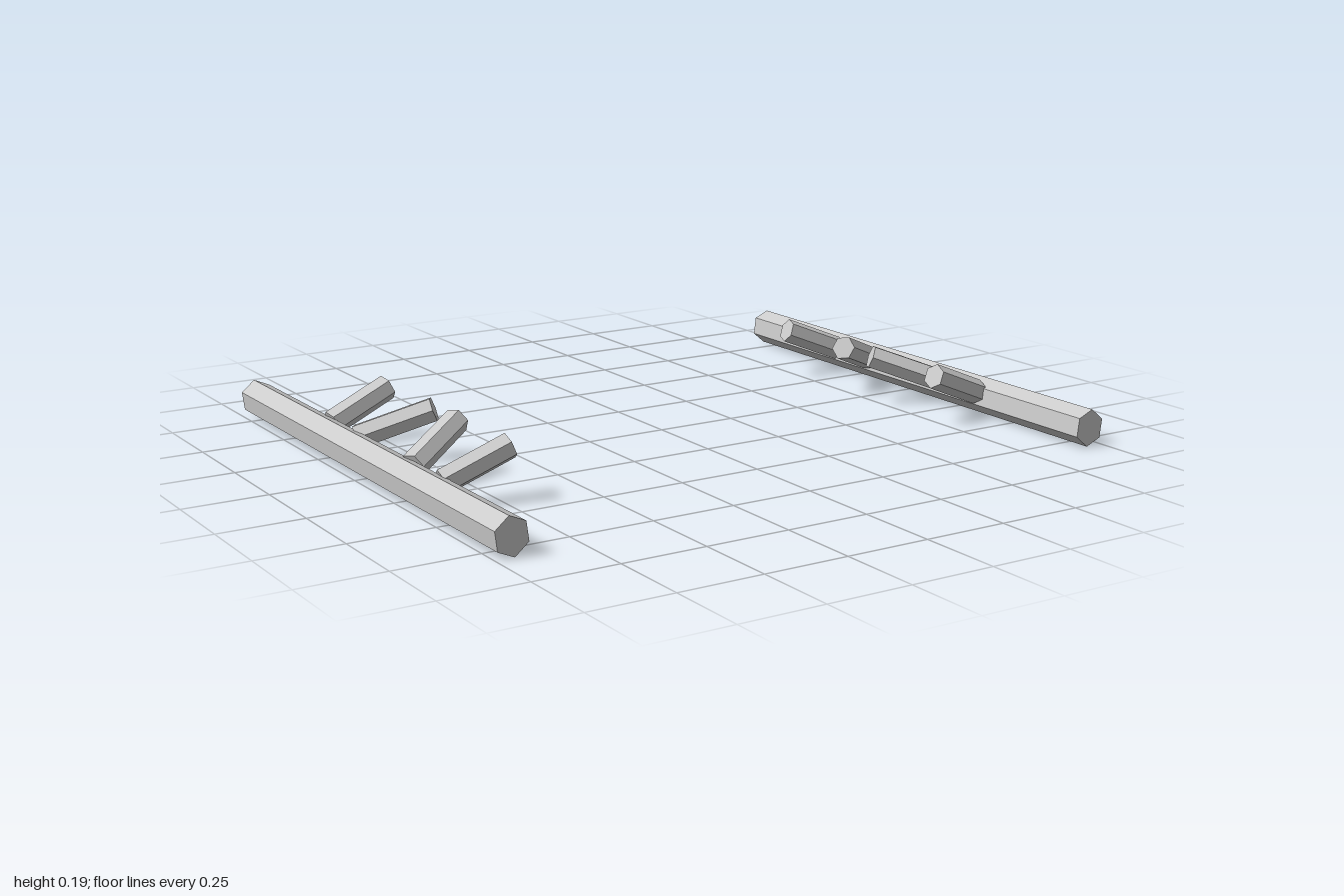
import * as THREE from 'three';

export function createModel() {
  const model = new THREE.Group();
  const material = new THREE.MeshStandardMaterial({ color: 0xcccccc, flatShading: true });

  // Peg z positions at the rail and at the free tip
  const pegs = [
    [-0.345, -0.37],
    [-0.17, -0.062],
    [0.187, 0.08],
    [0.365, 0.388],
  ];

  for (const side of [1, -1]) {
    const group = new THREE.Group();
    group.name = side > 0 ? 'leftBranch' : 'rightBranch';

    // Long hexagonal rail lying along z, slightly rolled
    const railGeometry = new THREE.CylinderGeometry(0.0555, 0.0555, 1.64, 6);
    railGeometry.rotateX(Math.PI / 2).rotateZ(-side * 0.14).scale(0.93, 1, 1);
    const rail = new THREE.Mesh(railGeometry, material);
    rail.name = 'rail';
    rail.position.set(side * 0.952, 0.055, 0);
    group.add(rail);

    // Short hexagonal pegs rising inward from the rail
    for (const [zBase, zTip] of pegs) {
      const base = new THREE.Vector3(side * 0.912, 0.073, zBase);
      const tip = new THREE.Vector3(side * 0.722, 0.151, zTip);
      const axis = tip.clone().sub(base);
      const pegGeometry = new THREE.CylinderGeometry(0.038, 0.038, axis.length(), 6);
      pegGeometry.rotateY(Math.PI / 6 + side * 0.14);
      const peg = new THREE.Mesh(pegGeometry, material);
      peg.name = 'peg';
      peg.position.copy(base).add(tip).multiplyScalar(0.5);
      peg.quaternion.setFromUnitVectors(new THREE.Vector3(0, 1, 0), axis.normalize());
      group.add(peg);
    }
    model.add(group);
  }
  return model;
}
